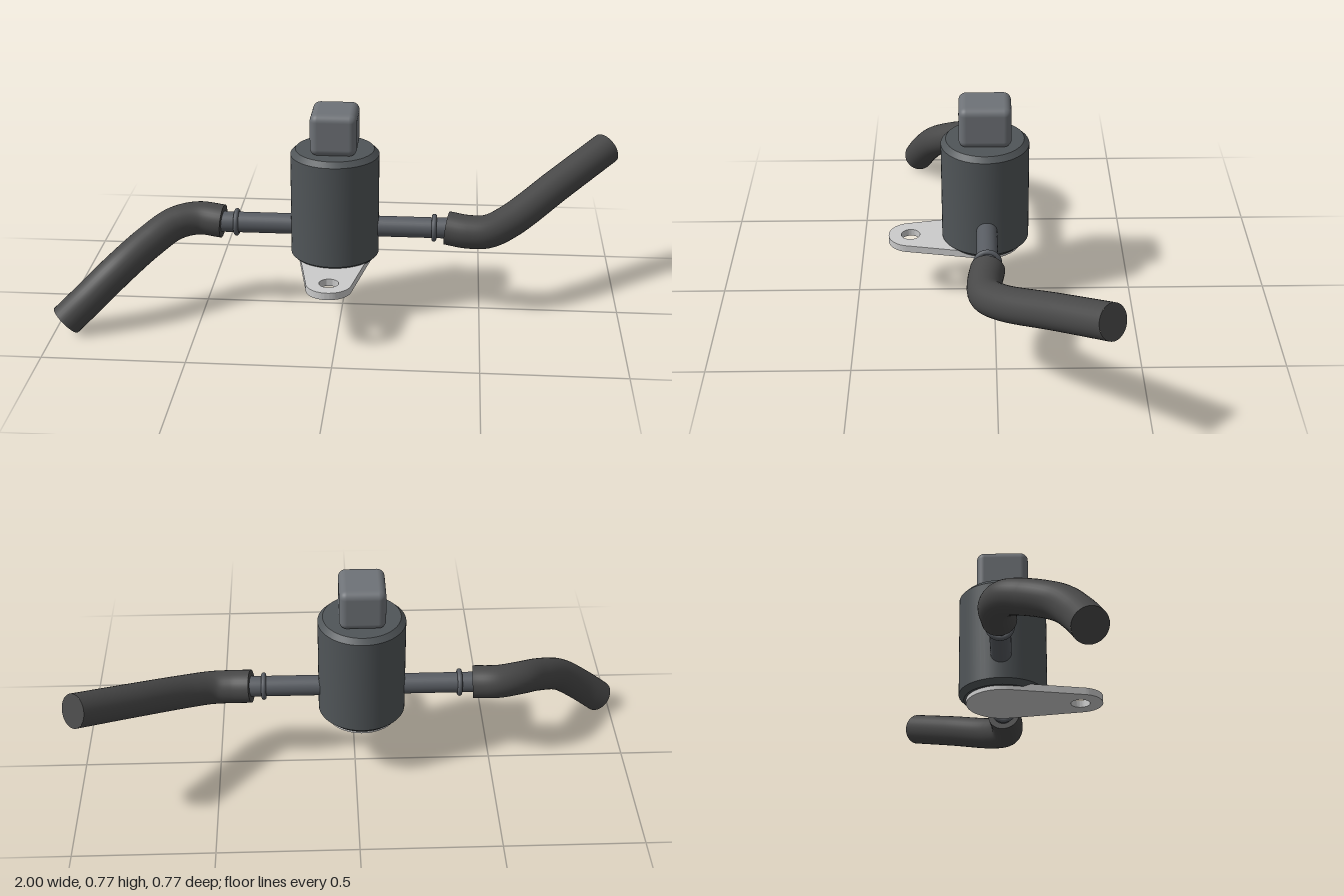
import * as THREE from 'three';
import { toCreasedNormals } from 'three/addons/utils/BufferGeometryUtils.js';
import { RoundedBoxGeometry } from 'three/addons/geometries/RoundedBoxGeometry.js';

const CX = -0.025, CZ = 0.032; // axis of the body
const PIPE_Y = 0.328, PIPE_Z = 0.028;
const mat = (color) => new THREE.MeshStandardMaterial({ color });

export function createModel() {
  const root = new THREE.Group();
  const bodyMat = mat(0x505558), hoseMat = mat(0x484848);
  const pipeMat = mat(0x585c62), capMat = mat(0x6e7277), plateMat = mat(0xcccccc);

  const add = (name, geometry, material, x = 0, y = 0, z = 0, parent = root) => {
    const mesh = new THREE.Mesh(geometry, material);
    mesh.name = name;
    mesh.position.set(x, y, z);
    parent.add(mesh);
    return mesh;
  };

  // Cylindrical body with chamfered rims
  const profile = [[0, 0.215], [0.139, 0.215], [0.157, 0.233], [0.157, 0.604], [0.139, 0.622], [0, 0.622]]
    .map(([r, y]) => new THREE.Vector2(r, y));
  add('body', toCreasedNormals(new THREE.LatheGeometry(profile, 64), 0.5), bodyMat, CX, 0, CZ);

  // Rounded electrical connector on top
  add('topConnector', new RoundedBoxGeometry(0.164, 0.152, 0.185, 6, 0.027), capMat, CX, 0.695, CZ);

  // Teardrop mounting plate: two arcs joined by their tangents, with a bolt hole
  const R = 0.13, r = 0.08, d = 0.273, a = Math.asin((R - r) / d);
  const outline = new THREE.Shape();
  outline.absarc(0, d, r, a, Math.PI - a, false);
  outline.absarc(0, 0, R, Math.PI - a, Math.PI * 2 + a, false);
  outline.closePath();
  const hole = new THREE.Path();
  hole.absarc(0, d, 0.034, 0, Math.PI * 2, true);
  outline.holes.push(hole);
  const plate = new THREE.ExtrudeGeometry(outline, { depth: 0.026, bevelEnabled: false, curveSegments: 32 });
  plate.rotateX(Math.PI / 2);
  add('mountingPlate', toCreasedNormals(plate, 0.5), plateMat, CX, 0.226, CZ);

  // Straight pipe through the body
  const pipe = new THREE.CylinderGeometry(0.037, 0.037, 0.86, 32).rotateZ(Math.PI / 2);
  add('pipe', pipe, pipeMat, CX, PIPE_Y, PIPE_Z);

  // Retaining bead on each pipe stub
  for (const [name, x] of [['leftBead', 0.33], ['rightBead', -0.38]]) {
    add(name, new THREE.TorusGeometry(0.041, 0.009, 12, 40).rotateY(Math.PI / 2), pipeMat, x, PIPE_Y, PIPE_Z);
  }

  // Bent rubber hoses with flat ends
  const hose = (name, points) => {
    const group = new THREE.Group();
    group.name = name;
    root.add(group);
    const curve = new THREE.CatmullRomCurve3(points.map((p) => new THREE.Vector3(...p)), false, 'centripetal');
    add('hoseWall', new THREE.TubeGeometry(curve, 72, 0.06, 32), hoseMat, 0, 0, 0, group);
    for (const t of [0, 1]) {
      const at = curve.getPointAt(t);
      const end = add('hoseEnd', new THREE.CircleGeometry(0.06, 32), hoseMat, at.x, at.y, at.z, group);
      end.lookAt(at.clone().addScaledVector(curve.getTangentAt(t), t ? 1 : -1));
    }
  };
  hose('leftHose', [
    [0.375, 0.329, 0.028], [0.45, 0.321, 0.039], [0.52, 0.322, 0.034],
    [0.6, 0.345, -0.015], [0.78, 0.43, -0.18], [0.957, 0.512, -0.343],
  ]);
  hose('rightHose', [
    [-0.43, 0.329, 0.027], [-0.52, 0.335, 0.018], [-0.6, 0.325, 0.05], [-0.68, 0.285, 0.125],
    [-0.78, 0.213, 0.222], [-0.87, 0.13, 0.272], [-0.958, 0.047, 0.303],
  ]);

  return root;
}
